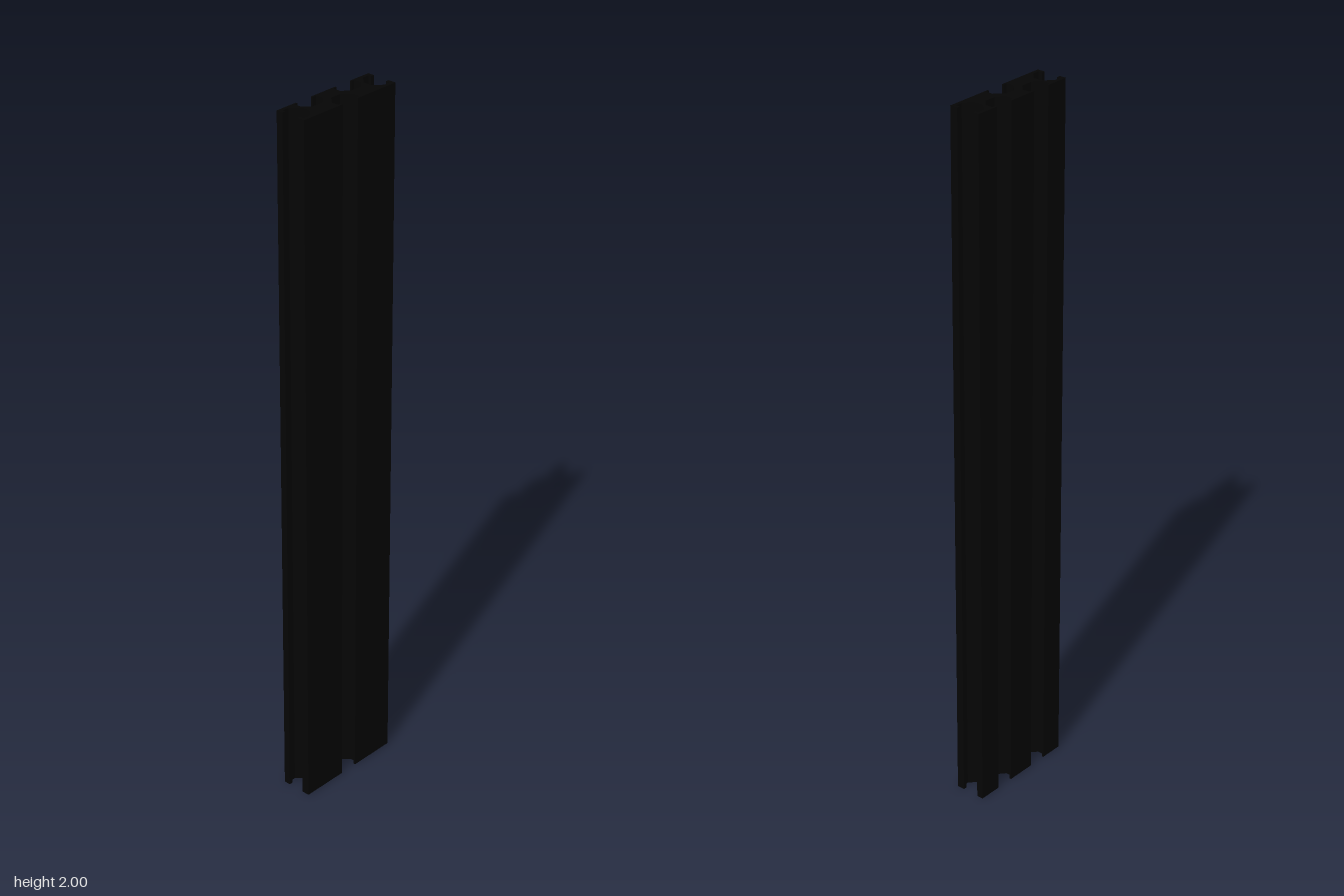
import * as THREE from 'three';

// Right half of the rail's section as [x, z], from the back centre round to the front centre
const halfSection = [
  // back centre flange and stem
  [0.043, -0.045], [0.043, -0.040], [0.031, -0.040], [0.031, -0.017],
  // back slot floor and outer wall
  [0.052, 0.001], [0.086, 0.001], [0.107, -0.018], [0.107, -0.040], [0.097, -0.040], [0.097, -0.045],
  // back corner hook
  [0.164, -0.045], [0.164, -0.026], [0.154, -0.026], [0.154, -0.035], [0.134, -0.035],
  // side slot floor
  [0.111, -0.013], [0.111, 0.014], [0.134, 0.035],
  // front corner hook and front flange
  [0.154, 0.035], [0.154, 0.023], [0.164, 0.023], [0.164, 0.045], [0.027, 0.045], [0.027, 0.040],
  // front slot
  [0.038, 0.040], [0.038, 0.019], [0.016, -0.004],
];

export function createModel() {
  const group = new THREE.Group();
  group.name = 'slottedRail';

  // Mirror the half section, then extrude it upwards
  const mirrored = halfSection.map(([x, z]) => [-x, z]).reverse();
  const outline = [...halfSection, ...mirrored].map(([x, z]) => new THREE.Vector2(x, -z));
  const geometry = new THREE.ExtrudeGeometry(new THREE.Shape(outline), { depth: 2, bevelEnabled: false });
  geometry.rotateX(-Math.PI / 2);

  const rail = new THREE.Mesh(geometry, new THREE.MeshStandardMaterial({ color: 0x050505 }));
  rail.name = 'rail';
  group.add(rail);
  return group;
}
